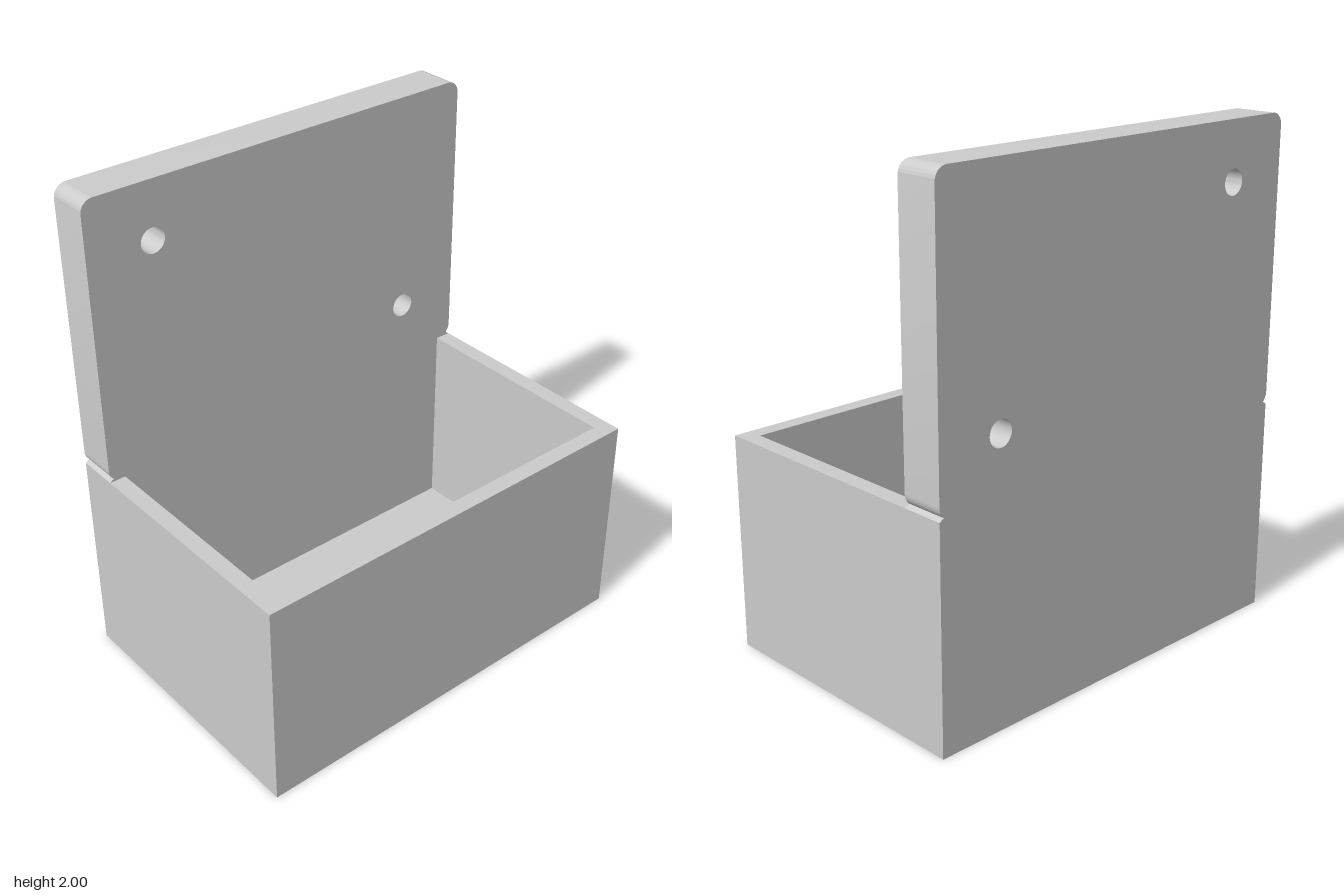
import * as THREE from 'three';
import { toCreasedNormals } from 'three/addons/utils/BufferGeometryUtils.js';

const W = 0.855;        // half width
const D = 0.57;         // half depth
const BOX_H = 0.86;     // height of the open box
const PANEL_Z = -0.4;   // front face of the back panel
const WALL = 0.066;

const material = new THREE.MeshStandardMaterial({ color: 0xcccccc });

function addMesh(group, name, geometry) {
  const mesh = new THREE.Mesh(geometry, material);
  mesh.name = name;
  group.add(mesh);
  return mesh;
}

function extrude(shape, depth) {
  const geometry = new THREE.ExtrudeGeometry(shape, { depth, bevelEnabled: false, curveSegments: 16 });
  return toCreasedNormals(geometry, 0.5);
}

// Tall panel: rounded top corners, small side notches at the box rim, two screw holes
function backPanelShape() {
  const r = 0.05;
  const dip = Math.PI / 3.6;
  const shape = new THREE.Shape();
  shape.moveTo(-W, 0);
  shape.lineTo(W, 0);
  shape.lineTo(W, BOX_H);
  shape.absarc(W - r, 0.91, r, -dip, 0, false);
  shape.absarc(W - r, 2 - r, r, 0, Math.PI / 2, false);
  shape.absarc(-W + r, 2 - r, r, Math.PI / 2, Math.PI, false);
  shape.absarc(-W + r, 0.91, r, Math.PI, Math.PI + dip, false);
  shape.lineTo(-W, BOX_H);
  shape.closePath();
  for (const [x, y] of [[-0.585, 1.77], [0.585, 1.095]]) {
    shape.holes.push(new THREE.Path().absarc(x, y, 0.05, 0, Math.PI * 2, true));
  }
  return shape;
}

// U-shaped plan of the front and side walls (plan y = -z)
function wallShape() {
  const x = W - WALL, front = -D + WALL, back = -PANEL_Z;
  return new THREE.Shape([
    [-W, -D], [W, -D], [W, back], [x, back],
    [x, front], [-x, front], [-x, back], [-W, back],
  ].map(([a, b]) => new THREE.Vector2(a, b)));
}

export function createModel() {
  const model = new THREE.Group();
  model.name = 'wallBox';

  const panel = addMesh(model, 'backPanel', extrude(backPanelShape(), PANEL_Z + D));
  panel.position.z = -D;

  const walls = addMesh(model, 'boxWalls', extrude(wallShape(), BOX_H));
  walls.rotation.x = -Math.PI / 2;

  // Floor fills the space between the walls and the panel
  const depth = D - WALL - PANEL_Z;
  const floor = addMesh(model, 'boxFloor', new THREE.BoxGeometry(2 * (W - WALL), WALL, depth));
  floor.position.set(0, WALL / 2, PANEL_Z + depth / 2);

  return model;
}
